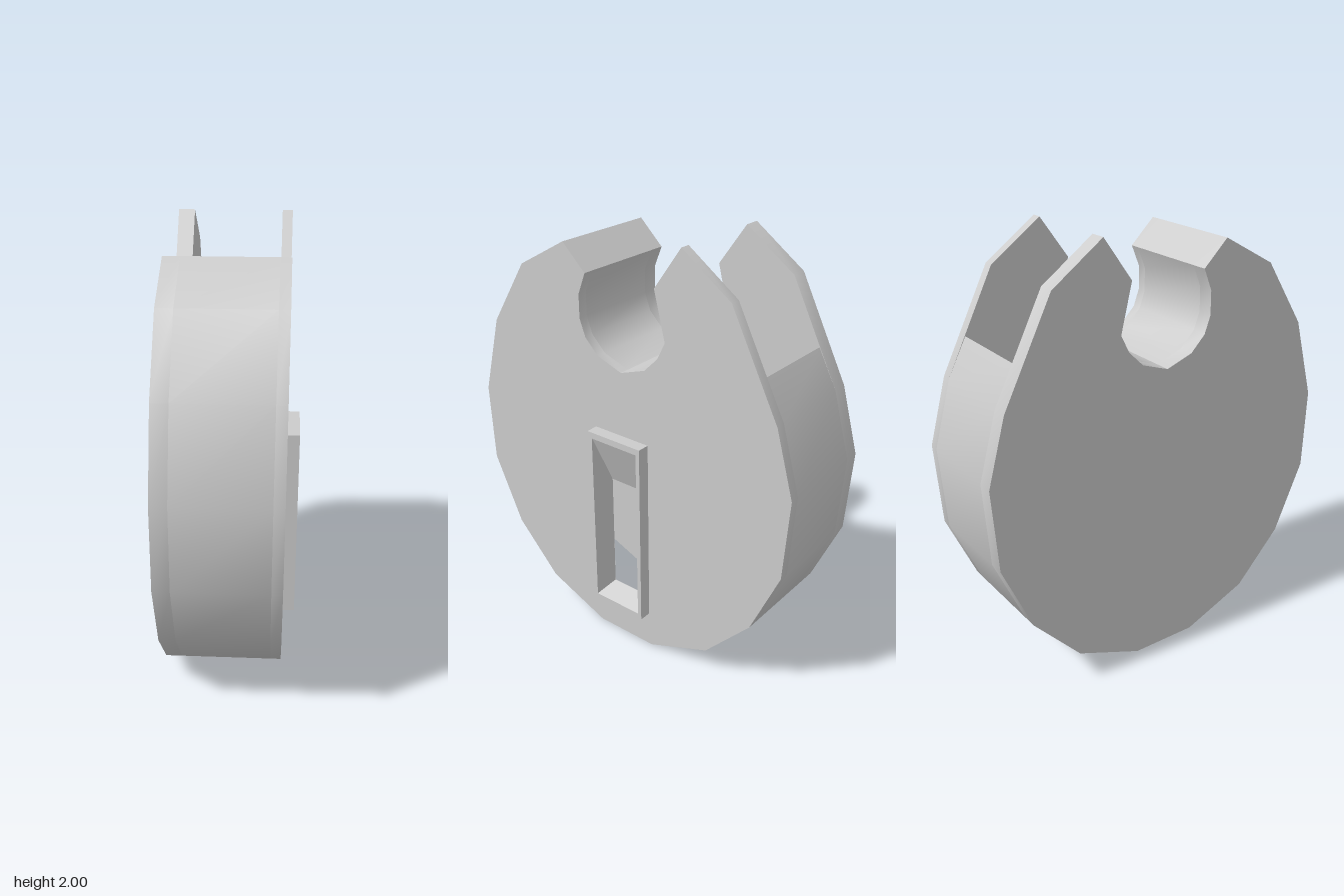
import * as THREE from 'three';
import { toCreasedNormals } from 'three/addons/utils/BufferGeometryUtils.js';

// Outlines are [z, y] points seen from the side.
const lowerFront = [
  [-0.16, 0], [0.16, 0], [0.48, 0.13], [0.71, 0.37], [0.86, 0.7], [0.875, 1.08],
  [0.77, 1.46], [0.57, 1.77], [0.31, 1.915],
];
const notch = [
  [0.19, 1.8], [0.23, 1.7], [0.23, 1.59], [0.2, 1.51], [0.13, 1.44], [0, 1.395],
  [-0.13, 1.44], [-0.2, 1.51], [-0.24, 1.59],
];
const rearProng = [[-0.185, 1.81], [-0.32, 2], [-0.56, 1.83]];
const pocket = [[-0.245, 0.9], [-0.69, 0.9], [-0.7, 1.55]];
const lowerRear = [[-0.79, 1.38], [-0.875, 1.08], [-0.85, 0.7], [-0.71, 0.38], [-0.48, 0.13]];

const rect = (z0, z1, y0, y1) => [[z0, y0], [z1, y0], [z1, y1], [z0, y1]];
const frameOuter = rect(-0.145, 0.155, 0.18, 1.09);
const frameInner = rect(-0.125, 0.135, 0.2, 1.06);
const slot = rect(-0.08, 0.105, 0.24, 0.815);

const toVectors = (pts) => pts.map(([z, y]) => new THREE.Vector2(-z, y));

// The sides lean very slightly towards +x with height.
function lean(geometry) {
  const p = geometry.attributes.position;
  for (let i = 0; i < p.count; i++) p.setX(i, p.getX(i) + 0.007 * (p.getY(i) - 1));
  return geometry;
}

// Slab with the given side outline between two x positions.
function slab(name, outline, x0, x1, material, hole) {
  const shape = new THREE.Shape(toVectors(outline));
  if (hole) shape.holes.push(new THREE.Path(toVectors(hole)));
  let geo = new THREE.ExtrudeGeometry(shape, { depth: x1 - x0, bevelEnabled: false });
  geo.rotateY(Math.PI / 2).translate(x0, 0, 0);
  geo = toCreasedNormals(lean(geo), 0.6);
  const mesh = new THREE.Mesh(geo, material);
  mesh.name = name;
  return mesh;
}

// Sloping walls joining two rectangles at different x positions.
function funnel(name, a, xa, b, xb, material) {
  const pos = [];
  for (let i = 0; i < 4; i++) {
    const j = (i + 1) % 4;
    const [p, q, r, s] = [[xa, a[i]], [xa, a[j]], [xb, b[j]], [xb, b[i]]];
    for (const [x, [z, y]] of [p, q, r, p, r, s]) pos.push(x, y, z);
  }
  const geo = new THREE.BufferGeometry();
  geo.setAttribute('position', new THREE.Float32BufferAttribute(pos, 3));
  lean(geo).computeVertexNormals();
  const mesh = new THREE.Mesh(geo, material);
  mesh.name = name;
  return mesh;
}

export function createModel() {
  const group = new THREE.Group();
  group.name = 'notchedDisc';
  const grey = new THREE.MeshStandardMaterial({ color: 0xcccccc });
  const open = new THREE.MeshStandardMaterial({ color: 0xcccccc, side: THREE.DoubleSide });

  const sideOutline = [...lowerFront, ...notch, ...rearProng, ...lowerRear];
  const coreOutline = [...lowerFront, ...notch, ...pocket, ...lowerRear];

  // Two pronged side plates with a pocketed core between them
  group.add(slab('rightPlate', sideOutline, -0.288, -0.215, grey));
  group.add(slab('core', coreOutline, -0.215, 0.185, grey, slot));
  group.add(slab('leftPlate', sideOutline, 0.185, 0.231, grey, frameInner));

  // Raised frame with a tapered recess leading to the slot
  group.add(slab('slotFrame', frameOuter, 0.231, 0.29, grey, frameInner));
  group.add(funnel('slotRecess', frameInner, 0.285, slot, 0.186, open));
  return group;
}
